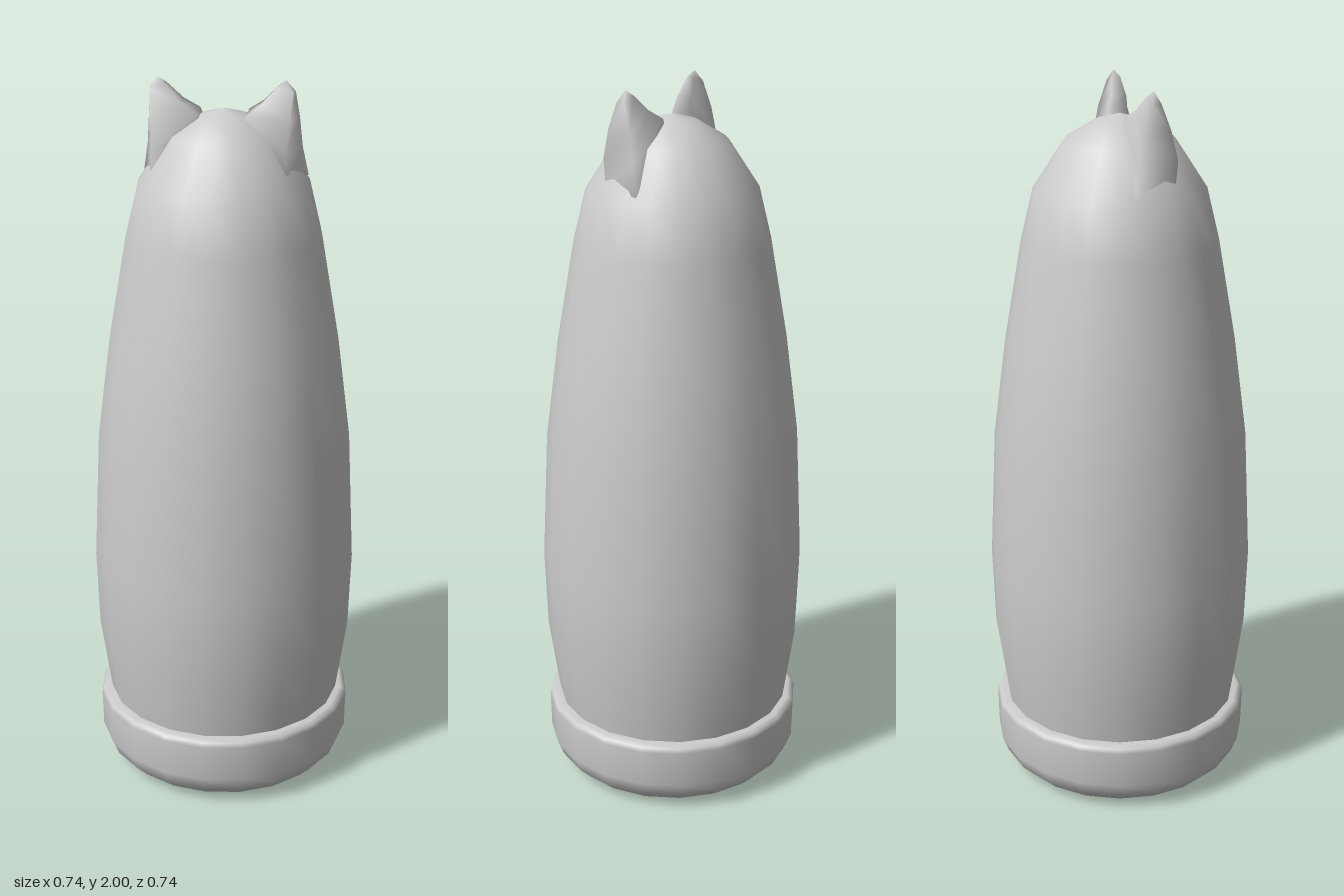
import * as THREE from 'three';

const material = new THREE.MeshStandardMaterial({ color: 0xcccccc });
const SIDES = 20;

function lathe(name, profile) {
  const points = profile.map(([r, y]) => new THREE.Vector2(r, y));
  const mesh = new THREE.Mesh(new THREE.LatheGeometry(points, SIDES), material);
  mesh.name = name;
  return mesh;
}

// Four-cornered sections from the buried root up to a single tip;
// corners run outer back, outer front, inner front, inner back.
function ear(name, side) {
  const rings = [
    [[0.222, 1.74, -0.03], [0.18, 1.75, 0.092], [0.05, 1.87, 0.035], [0.05, 1.88, -0.012]],
    [[0.207, 1.82, -0.012], [0.176, 1.82, 0.1], [0.065, 1.905, 0.042], [0.065, 1.915, -0.012]],
    [[0.2, 1.9, 0.002], [0.184, 1.9, 0.078], [0.105, 1.938, 0.052], [0.105, 1.942, 0.008]],
    [[0.191, 1.97, 0.024], [0.186, 1.97, 0.05], [0.147, 1.984, 0.048], [0.147, 1.984, 0.024]],
  ];
  const positions = [...rings.flat(), [0.168, 2, 0.036]].flatMap(([x, y, z]) => [x * side, y, z]);
  const index = [];
  const tri = (a, b, c) => index.push(...(side > 0 ? [a, b, c] : [a, c, b]));
  const tip = rings.length * 4;
  for (let i = 0; i < rings.length; i++) {
    for (let j = 0; j < 4; j++) {
      const a = i * 4 + j, b = i * 4 + (j + 1) % 4;
      if (i === rings.length - 1) tri(a, tip, b);
      else {
        tri(a, a + 4, b);
        tri(b, a + 4, b + 4);
      }
    }
  }
  const geometry = new THREE.BufferGeometry();
  geometry.setAttribute('position', new THREE.Float32BufferAttribute(positions, 3));
  geometry.setIndex(index);
  geometry.computeVertexNormals();
  const mesh = new THREE.Mesh(geometry, material);
  mesh.name = name;
  return mesh;
}

export function createModel() {
  const group = new THREE.Group();
  group.name = 'earedCapsule';

  // Tapered body with a domed top
  group.add(lathe('body', [
    [0.328, 0.19], [0.335, 0.23], [0.363, 0.43], [0.37, 0.65], [0.352, 1.02], [0.315, 1.3],
    [0.266, 1.58], [0.232, 1.72], [0.147, 1.85], [0.065, 1.9], [0, 1.917],
  ]));

  // Base with a rounded underside and a narrow top ledge
  group.add(lathe('base', [
    [0, 0], [0.25, 0], [0.275, 0.004], [0.315, 0.018], [0.345, 0.048], [0.362, 0.09],
    [0.364, 0.195], [0.36, 0.208], [0.348, 0.215], [0.32, 0.215],
  ]));

  group.add(ear('leftEar', 1), ear('rightEar', -1));
  return group;
}
